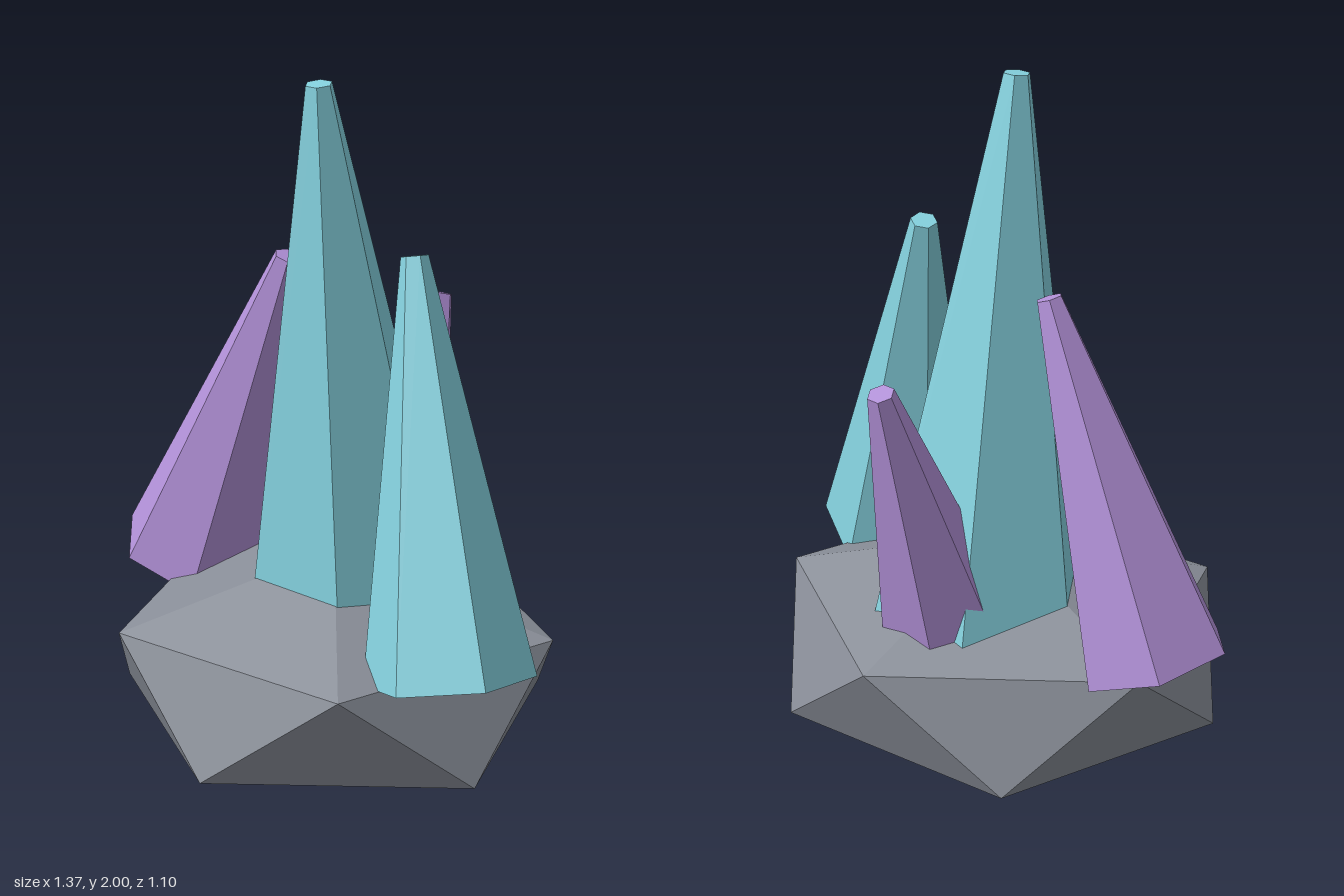
import * as THREE from 'three';

// Faceted geometry: every face gets its own normal
function faceted(geometry) {
  const flat = geometry.index ? geometry.toNonIndexed() : geometry;
  flat.computeVertexNormals();
  return flat;
}

// Six-sided tapered shard running from base to tip; edge points toward one of its corners
function crystal(name, material, base, tip, baseRadius, tipRadius, edge) {
  const from = new THREE.Vector3(...base);
  const to = new THREE.Vector3(...tip);
  const up = to.clone().sub(from);
  const length = up.length();
  up.normalize();
  const z = new THREE.Vector3(...edge).projectOnPlane(up).normalize();
  const x = new THREE.Vector3().crossVectors(up, z);

  const geometry = new THREE.CylinderGeometry(tipRadius, baseRadius, length, 6);
  geometry.translate(0, length / 2, 0);
  geometry.applyMatrix4(new THREE.Matrix4().makeBasis(x, up, z).setPosition(from));
  const mesh = new THREE.Mesh(faceted(geometry), material);
  mesh.name = name;
  return mesh;
}

export function createModel() {
  const stone = new THREE.MeshStandardMaterial({ color: 0x8a8f99 });
  const teal = new THREE.MeshStandardMaterial({ color: 0x85d2df });
  const purple = new THREE.MeshStandardMaterial({ color: 0xb291d8 });
  stone.name = 'stone grey';
  teal.name = 'teal crystal';
  purple.name = 'purple crystal';

  const group = new THREE.Group();
  group.name = 'crystalCluster';

  // Squashed icosahedron standing on one corner
  const rockGeometry = new THREE.IcosahedronGeometry(1, 0);
  rockGeometry.rotateZ(-Math.atan(2 / (1 + Math.sqrt(5))));
  rockGeometry.scale(0.704, 0.3375, 0.577 / 0.8944);
  rockGeometry.translate(0.03, 0.3375, 0);
  const rock = new THREE.Mesh(faceted(rockGeometry), stone);
  rock.name = 'rock';
  group.add(rock);

  // Shards growing out of the rock
  group.add(
    crystal('tallCrystal', teal, [0.064, 0.45, -0.083], [0.007, 1.997, 0.064], 0.322, 0.037, [0.055, 0, 0.298]),
    crystal('frontLeftCrystal', teal, [0.46, 0.487, 0.325], [0.268, 1.56, 0.057], 0.232, 0.037, [0.225, 0.03, -0.045]),
    crystal('rightCrystal', purple, [-0.487, 0.5, -0.23], [-0.15, 1.465, -0.13], 0.216, 0.037, [-0.203, 0.075, -0.027]),
    crystal('backCrystal', purple, [0.102, 0.45, -0.213], [0.185, 1.29, -0.475], 0.197, 0.037, [0.03, 0.05, 0.175]),
  );
  return group;
}
